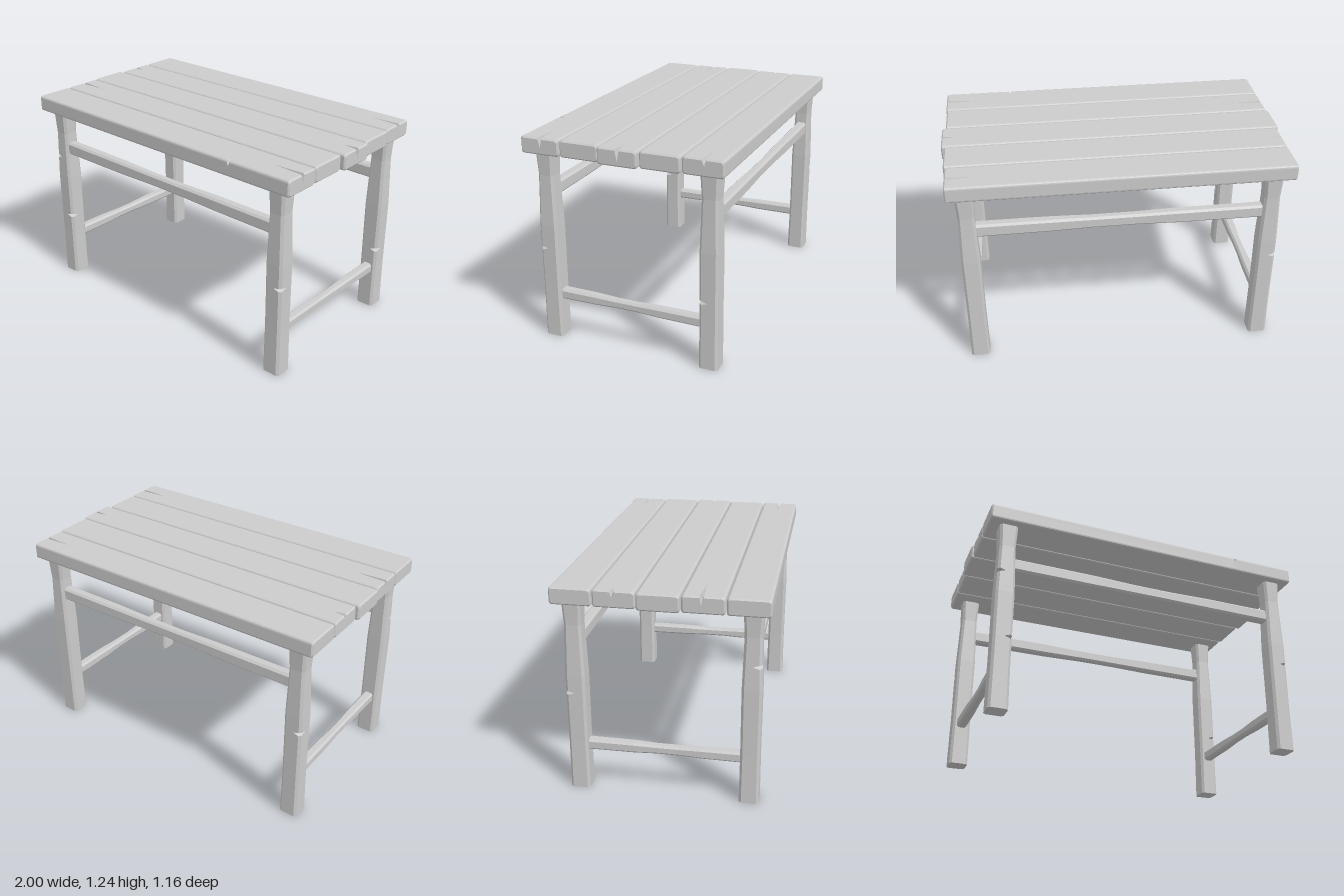
import * as THREE from 'three';

const material = new THREE.MeshStandardMaterial({ color: 0xcccccc, flatShading: true });

// Cross-section plane (u, v) and length s, placed along each axis
const along = {
  x: (u, v, s) => [s, v, -u],
  y: (u, v, s) => [v, s, u],
  z: (u, v, s) => [u, v, s],
};

// Rectangle with eased corners; one corner may be cut deeper, and the top edge may carry a V groove.
// Corners: 0 (+u,-v), 1 (+u,+v), 2 (-u,+v), 3 (-u,-v)
function section({ u0, u1, v0, v1, r, steps = 1, cut, groove }) {
  const pts = [];
  for (let k = 0; k < 4; k++) {
    const su = k < 2 ? 1 : -1, sv = k === 1 || k === 2 ? 1 : -1;
    const isCut = cut && cut.corner === k;
    const ru = isCut ? cut.u : r, rv = isCut ? cut.v : r;
    const cu = (su > 0 ? u1 : u0) - su * ru, cv = (sv > 0 ? v1 : v0) - sv * rv;
    const a0 = (k - 1) * Math.PI / 2, a1 = k * Math.PI / 2;
    for (let i = 0; i <= steps; i++) {
      const t = i / steps, a = a0 + (a1 - a0) * t;
      const c = isCut ? Math.cos(a0) * (1 - t) + Math.cos(a1) * t : Math.cos(a);
      const s = isCut ? Math.sin(a0) * (1 - t) + Math.sin(a1) * t : Math.sin(a);
      pts.push([cu + ru * c, cv + rv * s]);
    }
    if (k === 1 && groove) {
      pts.push([groove.u + groove.w, v1], [groove.u, v1 - groove.d], [groove.u - groove.w, v1]);
    }
  }
  return pts;
}

// Skin a list of { s, pts } sections and cap both ends
function loft(name, axis, rings) {
  const n = rings[0].pts.length, pos = [], index = [];
  rings.forEach(({ s, pts }) => pts.forEach(([u, v]) => pos.push(...along[axis](u, v, s))));
  for (let j = 0; j < rings.length - 1; j++) {
    for (let i = 0; i < n; i++) {
      const a = j * n + i, b = j * n + (i + 1) % n;
      index.push(a, b, b + n, a, b + n, a + n);
    }
  }
  const cap = (ring, base, flip) => {
    const contour = ring.pts.map(([u, v]) => new THREE.Vector2(u, v));
    THREE.ShapeUtils.triangulateShape(contour, []).forEach(([a, b, c]) =>
      index.push(base + a, base + (flip ? c : b), base + (flip ? b : c)));
  };
  cap(rings[0], 0, true);
  cap(rings[rings.length - 1], (rings.length - 1) * n, false);
  const geo = new THREE.BufferGeometry();
  geo.setAttribute('position', new THREE.Float32BufferAttribute(pos, 3));
  geo.setIndex(index);
  const flat = geo.toNonIndexed();
  flat.computeVertexNormals();
  const mesh = new THREE.Mesh(flat, material);
  mesh.name = name;
  return mesh;
}

// Tabletop board with a split running in from one end and an optional chip on its front edge
function plank({ x0, x1, z0, z1, split, chip }) {
  const e = 0.008, top = 1.235, bottom = 1.14;
  const tip = split.end > 0 ? x1 - split.length : x0 + split.length;
  const tail = split.end > 0 ? x1 : x0;
  const ring = (s, inset = 0, cut) => {
    const t = Math.max(0, (s - tip) / (tail - tip));
    return {
      s,
      pts: section({
        u0: -z1 + inset, u1: -z0 - inset, v0: bottom + inset, v1: top - inset, r: 0.014, steps: 3, cut,
        groove: { u: -split.z, w: 0.0005 + split.width * t, d: split.depth * t },
      }),
    };
  };
  const rings = [ring(x0, e), ring(x0 + e), ring(tip), ring(x1 - e), ring(x1, e)];
  if (chip) {
    rings.push(ring(chip - 0.008), ring(chip, 0, { corner: 2, u: 0.045, v: 0.03 }), ring(chip + 0.008));
  }
  rings.sort((a, b) => a.s - b.s);
  return loft('plank', 'x', rings);
}

// Hewn leg: slight waist below the top, with nicks cut into its corners
function leg(sx, sz, nicks) {
  const waist = [[0, 0], [0.3, 0.002], [0.7, 0.001], [0.88, 0.006], [1.0, 0.009], [1.145, 0.002]];
  const insetAt = (y) => {
    const i = Math.max(1, waist.findIndex(([h]) => h >= y));
    const [ya, a] = waist[i - 1], [yb, b] = waist[i];
    return a + (b - a) * (y - ya) / (yb - ya);
  };
  const ring = (y, cut) => {
    const i = insetAt(y), cx = sx * 0.871, cz = sz * 0.485;
    return {
      s: y,
      pts: section({
        u0: cz - 0.056 + i, u1: cz + 0.056 - i, v0: cx - 0.056 + i, v1: cx + 0.056 - i, r: 0.014, cut,
      }),
    };
  };
  const rings = waist.map(([y]) => ring(y));
  for (const [corner, y] of nicks) {
    rings.push(ring(y - 0.011), ring(y, { corner, u: 0.05, v: 0.045 }), ring(y + 0.011));
  }
  rings.sort((a, b) => a.s - b.s);
  return loft('leg', 'y', rings);
}

// Eased rail, slightly thinner toward the middle
function rail(name, axis, half, cu, cv, hu, hv) {
  const rings = [[-1, 0], [-0.4, 0.001], [-0.1, 0.005], [0.2, 0.005], [0.5, 0.001], [1, 0]].map(([t, i]) => ({
    s: t * half,
    pts: section({ u0: cu - hu + i, u1: cu + hu - i, v0: cv - hv + i, v1: cv + hv - i, r: 0.012 }),
  }));
  return loft(name, axis, rings);
}

export function createModel() {
  const model = new THREE.Group();
  model.name = 'table';

  // Tabletop
  const tabletop = new THREE.Group();
  tabletop.name = 'tabletop';
  const split = (end, z, length, depth, width = 0.011) => ({ end, z, length, depth, width });
  [
    { x0: -0.985, x1: 0.97, split: split(1, -0.475, 0.18, 0.032) },
    { x0: -0.985, x1: 0.98, split: split(-1, -0.242, 0.07, 0.035) },
    { x0: -1, x1: 1, split: split(1, -0.005, 0.09, 0.06) },
    { x0: -0.99, x1: 0.98, split: split(-1, 0.225, 0.19, 0.05) },
    { x0: -0.99, x1: 0.985, split: split(1, 0.463, 0.19, 0.045), chip: 0.585 },
  ].forEach((board, i) => {
    const z0 = -0.582 + i * 0.2338;
    tabletop.add(plank({ ...board, z0, z1: z0 + 0.228 }));
  });
  model.add(tabletop);

  // Legs with their nicks as [corner, height]
  model.add(
    leg(1, 1, [[1, 0.56]]),
    leg(1, -1, [[1, 0.405]]),
    leg(-1, 1, [[0, 0.835], [1, 0.425]]),
    leg(-1, -1, [[3, 0.6]]),
  );

  // Long rails under the top, short rails near the floor
  for (const side of [1, -1]) {
    model.add(rail('longRail', 'x', 0.825, side * 0.485, 0.9, 0.032, 0.04));
    model.add(rail('sideRail', 'z', 0.435, side * 0.871, 0.268, 0.03, 0.032));
  }
  return model;
}
